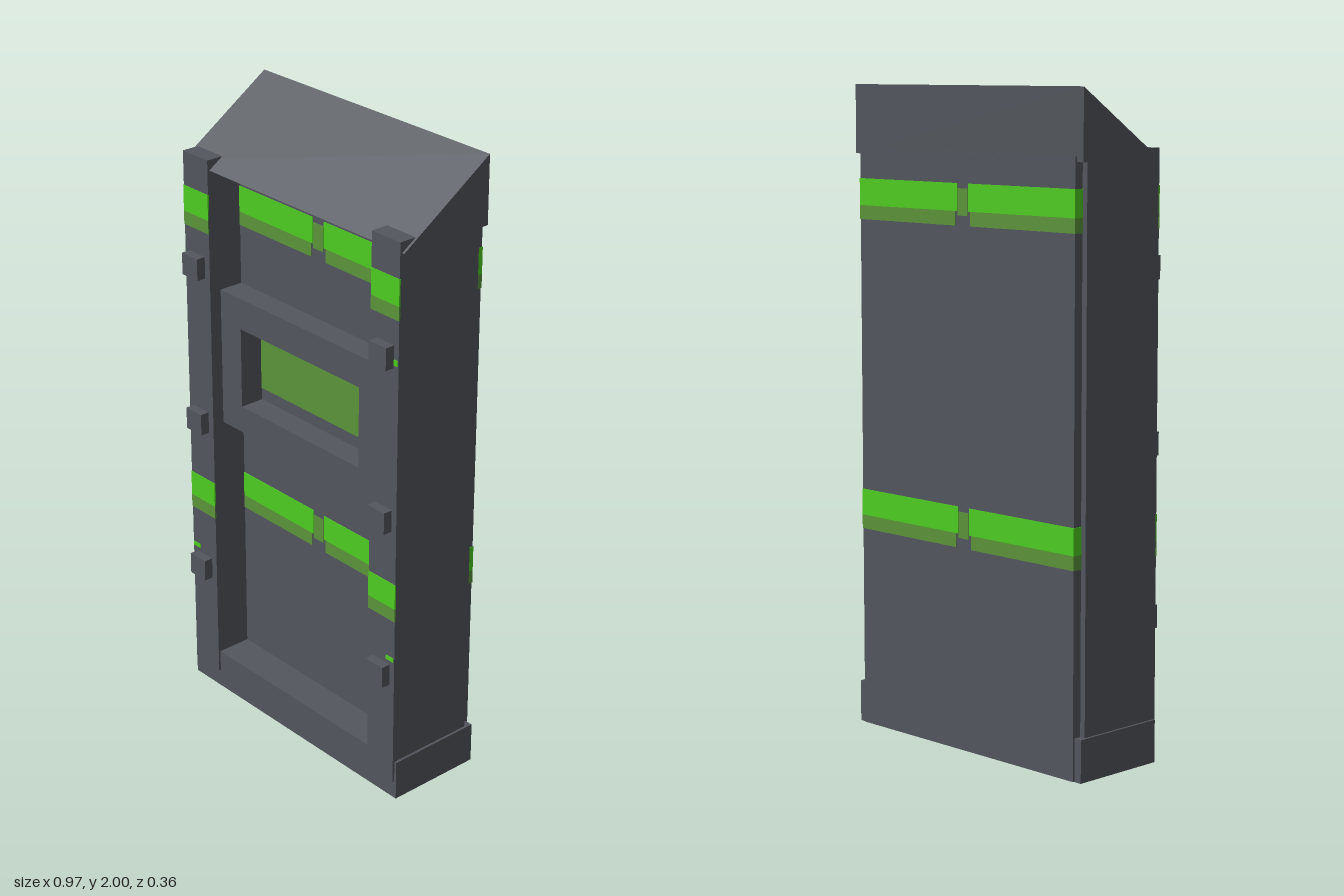
import * as THREE from 'three';

const mat = (name, color) => Object.assign(new THREE.MeshStandardMaterial({ color }), { name });

export function createModel() {
  const grey = mat('slate grey', 0x53575e);
  const green = mat('bright green', 0x4fd022);
  const muted = mat('muted green', 0x5d963b);
  const model = new THREE.Group();
  model.name = 'lockerPanel';

  const add = (name, geometry, material) => {
    const mesh = new THREE.Mesh(geometry, material);
    mesh.name = name;
    model.add(mesh);
    return mesh;
  };
  // Box given by its lower and upper limits on each axis
  const box = (name, material, x0, x1, y0, y1, z0, z1) =>
    add(name, new THREE.BoxGeometry(x1 - x0, y1 - y0, z1 - z0), material)
      .position.set((x0 + x1) / 2, (y0 + y1) / 2, (z0 + z1) / 2);
  // The same box on both sides
  const pair = (name, material, x0, x1, ...rest) => {
    box(name + 'Left', material, x0, x1, ...rest);
    box(name + 'Right', material, -x1, -x0, ...rest);
  };

  // Body, base and back slab
  box('body', grey, -0.475, 0.475, 0.12, 1.795, -0.15, 0.03);
  box('base', grey, -0.483, 0.483, 0, 0.13, -0.174, 0.143);
  box('backSlab', grey, -0.457, 0.457, 0.001, 1.805, -0.18, -0.149);

  // Sloping roof wedge
  const wedge = new THREE.Shape([
    new THREE.Vector2(0.174, 1.79),
    new THREE.Vector2(0.174, 2),
    new THREE.Vector2(-0.143, 1.79),
  ]);
  const roof = new THREE.ExtrudeGeometry(wedge, { depth: 0.966, bevelEnabled: false });
  roof.translate(0, 0, -0.483).rotateY(Math.PI / 2).computeVertexNormals();
  add('roof', roof, grey);

  // Front pillars with their square studs
  pair('pillar', grey, 0.36, 0.475, 0.06, 1.823, 0.02, 0.15);
  for (const y of [0.4, 0.92, 1.44]) pair('stud', grey, 0.383, 0.455, y, y + 0.07, 0.14, 0.18);

  // Raised window frame
  const rect = (C, x, y0, y1) => new C([[-x, y0], [x, y0], [x, y1], [-x, y1]]
    .map(([a, b]) => new THREE.Vector2(a, b)));
  const frame = rect(THREE.Shape, 0.365, 0.953, 1.4);
  frame.holes.push(rect(THREE.Path, 0.267, 1.04, 1.3));
  const frameGeometry = new THREE.ExtrudeGeometry(frame, { depth: 0.085, bevelEnabled: false });
  frameGeometry.translate(0, 0, 0.025);
  add('windowFrame', frameGeometry, grey);
  box('windowPane', muted, -0.267, 0.267, 1.08, 1.26, 0.028, 0.032);

  // Two-tone stripes on the pillars, inner panel and back slab
  for (const y of [0.625, 1.59]) {
    const tones = [[green, 'brightStripe', y + 0.043, y + 0.125, 0.024],
      [muted, 'mutedStripe', y, y + 0.043, 0.032]];
    for (const [material, name, y0, y1, gap] of tones) {
      pair(name + 'Pillar', material, 0.36, 0.4755, y0, y1, 0.147, 0.152);
      pair(name + 'Panel', material, gap, 0.36, y0, y1, 0.028, 0.032);
      pair(name + 'Back', material, gap, 0.4585, y0, y1, -0.182, -0.15);
    }
    // Faded patch at the middle of each stripe
    box('patchPanel', muted, -0.022, 0.022, y + 0.03, y + 0.11, 0.028, 0.032);
    box('patchBack', muted, -0.022, 0.022, y + 0.03, y + 0.11, -0.182, -0.178);
  }

  // Small paint chips beside the upper studs and above the lower ones
  pair('upperChip', green, 0.457, 0.472, 1.45, 1.468, 0.147, 0.152);
  pair('lowerChip', green, 0.44, 0.472, 0.484, 0.498, 0.147, 0.152);

  return model;
}
